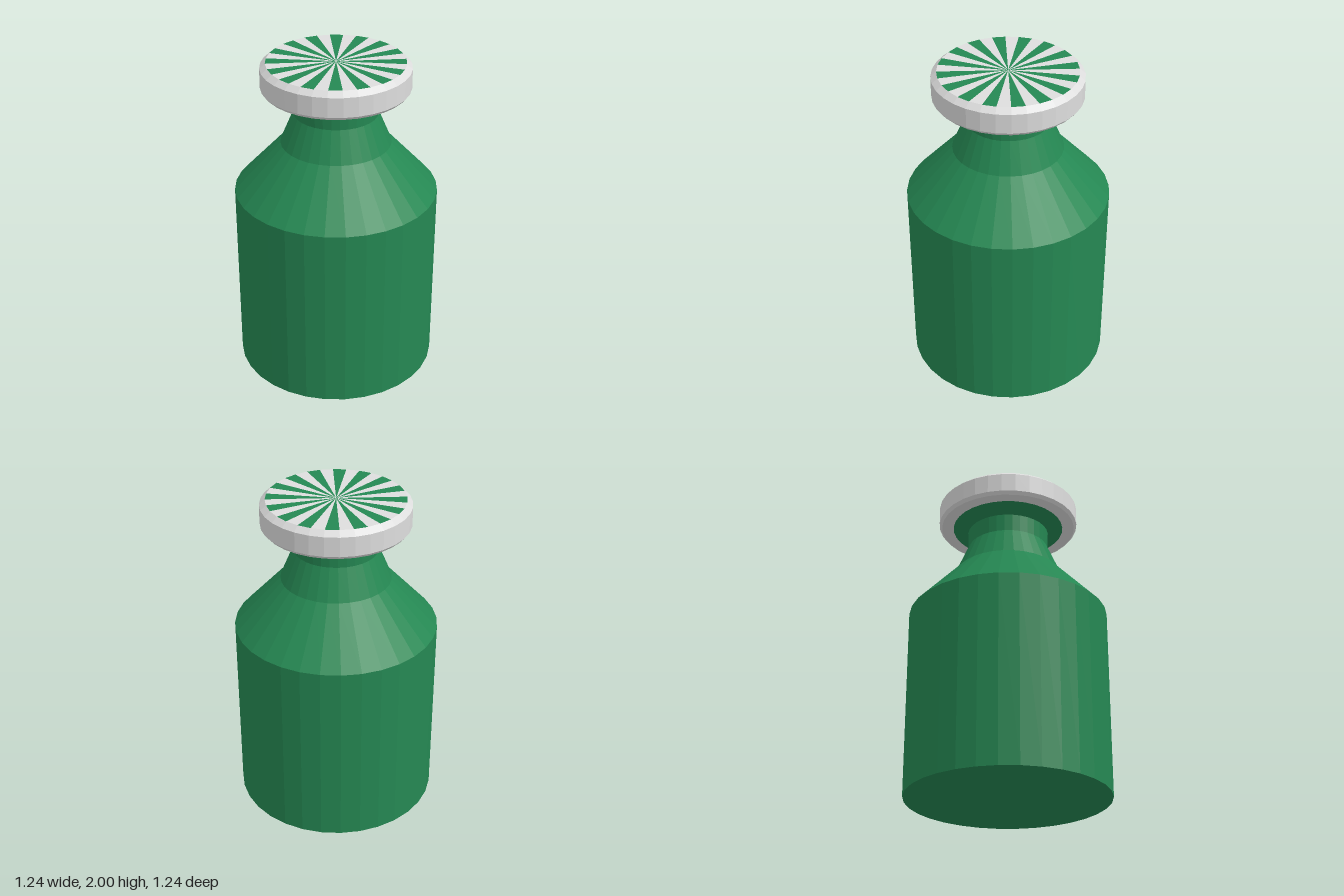
import * as THREE from 'three';

const SIDES = 32;

export function createModel() {
  const model = new THREE.Group();
  model.name = 'cappedBottle';

  const green = new THREE.MeshStandardMaterial({ color: 0x258853, flatShading: true });
  green.name = 'bottleGreen';
  const silver = new THREE.MeshStandardMaterial({ color: 0xdddddd, flatShading: true });
  silver.name = 'capSilver';

  // Turned part from a [radius, height] profile, bottom to top
  const turned = (name, profile, material) => {
    const points = profile.map(([r, y]) => new THREE.Vector2(r, y));
    const mesh = new THREE.Mesh(new THREE.LatheGeometry(points, SIDES), material);
    mesh.name = name;
    model.add(mesh);
  };

  // Closed base, straight body, two-step shoulder, neck and flared lip
  turned('bottle', [
    [0, 0], [0.62, 0], [0.62, 1.18], [0.335, 1.49],
    [0.255, 1.68], [0.26, 1.79], [0.355, 1.83],
  ], green);

  // Cap with bevelled rims, open on top for the striped disc
  turned('cap', [
    [0, 1.83], [0.43, 1.83], [0.447, 1.85], [0.447, 1.97], [0.413, 2],
  ], silver);

  // Striped top: one wedge per side in alternating colours
  const disc = new THREE.CircleGeometry(0.413, SIDES);
  disc.rotateX(-Math.PI / 2);
  for (let i = 0; i < SIDES; i++) disc.addGroup(i * 3, 3, i % 2);
  const top = new THREE.Mesh(disc, [green, silver]);
  top.name = 'stripedTop';
  top.position.y = 2;
  model.add(top);

  return model;
}
